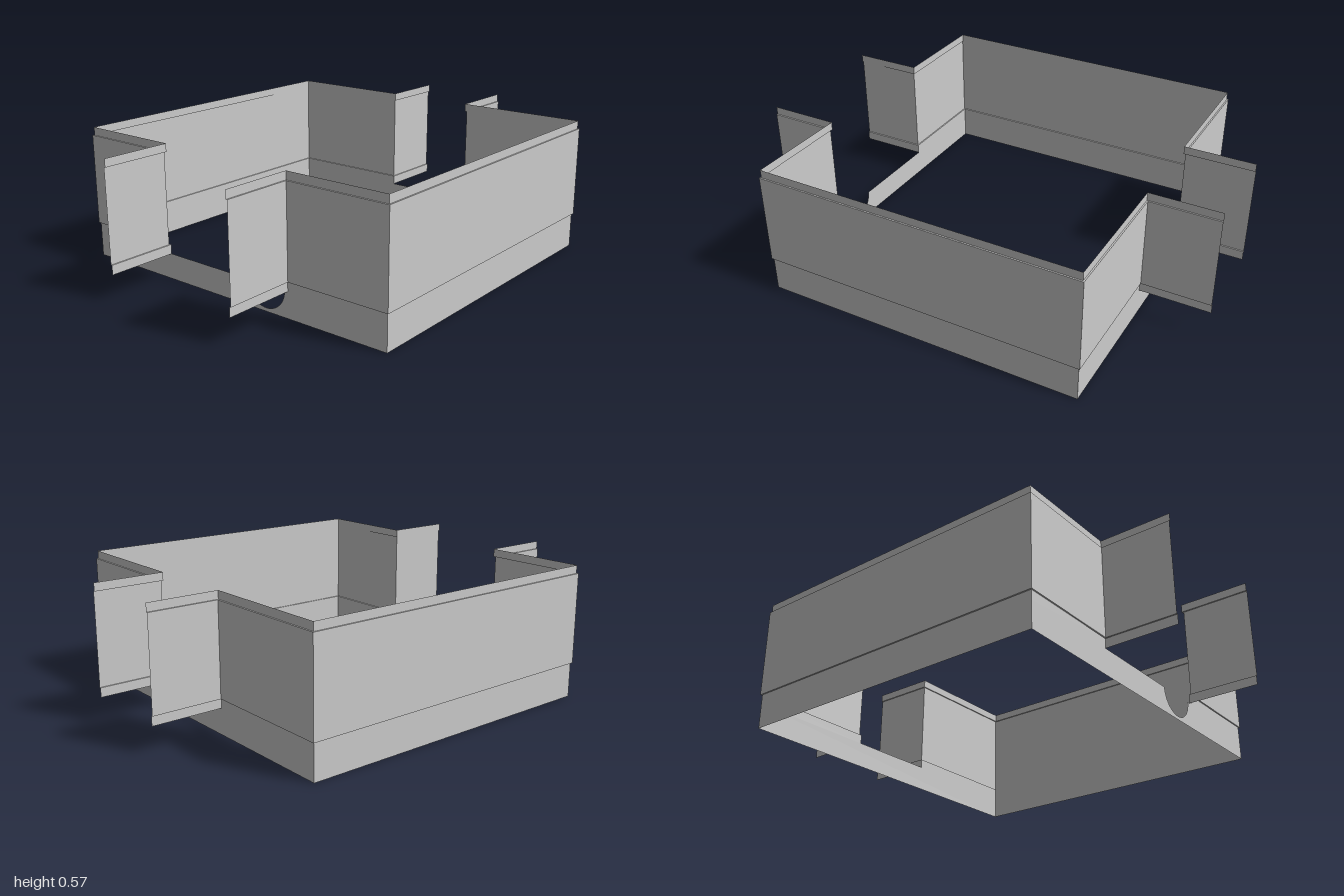
import * as THREE from 'three';

const W = 0.772, D = 0.698;      // half width and half depth of the room
const STEP = 0.006;              // how far the middle panel stands proud
const SILL = 0.11, TOP = 0.575;  // sill and wall top heights

const material = new THREE.MeshStandardMaterial({ color: 0xcccccc, side: THREE.DoubleSide });

// Sweeps a wall profile of [offset, y] points along a plan path.
// pathAt(offset) returns the [x, z] points of the path pushed outward.
function sweepWall(pathAt, profile) {
  const pos = [];
  for (let j = 0; j < profile.length - 1; j++) {
    const [e0, y0] = profile[j], [e1, y1] = profile[j + 1];
    const low = pathAt(e0), high = pathAt(e1);
    for (let i = 0; i < low.length - 1; i++) {
      const a = [low[i][0], y0, low[i][1]], b = [low[i + 1][0], y0, low[i + 1][1]];
      const c = [high[i + 1][0], y1, high[i + 1][1]], d = [high[i][0], y1, high[i][1]];
      pos.push(...a, ...b, ...c, ...a, ...c, ...d);
    }
  }
  const geometry = new THREE.BufferGeometry();
  geometry.setAttribute('position', new THREE.Float32BufferAttribute(pos, 3));
  geometry.computeVertexNormals();
  return geometry;
}

// Half of the upper wall: front wing, front, side, back, back wing
function halfPath(side, frontX, backX) {
  return (e) => {
    const points = [
      [frontX + e, 1], [frontX + e, D + e], [W + e, D + e],
      [W + e, -D - e], [backX + e, -D - e], [backX + e, -1],
    ].map(([x, z]) => [side * x, z]);
    return side > 0 ? points : points.reverse();
  };
}

export function createModel() {
  const group = new THREE.Group();
  const add = (name, geometry) => {
    const mesh = new THREE.Mesh(geometry, material);
    mesh.name = name;
    group.add(mesh);
    return mesh;
  };

  // Upper walls with recessed trims above and below the panel
  const profile = [
    [0, SILL], [0, 0.15], [STEP, 0.15], [STEP, 0.54], [0, 0.54], [0, TOP],
  ];
  add('leftWall', sweepWall(halfPath(1, 0.316, 0.199), profile));
  add('rightWall', sweepWall(halfPath(-1, 0.319, 0.204), profile));

  // Base strip around the sides and back
  const basePath = () => [[W, D], [W, -D], [-W, -D], [-W, D]];
  add('baseStrip', sweepWall(basePath, [[0, 0], [0, SILL]]));

  // Front base strip with a round notch in the sill
  const front = new THREE.Shape();
  front.moveTo(-W, 0);
  front.lineTo(W, 0);
  front.lineTo(W, SILL);
  front.lineTo(0.3, SILL);
  front.absarc(0.205, SILL, 0.095, 0, -Math.PI, true);
  front.lineTo(-W, SILL);
  front.closePath();
  add('frontBaseStrip', new THREE.ShapeGeometry(front, 14)).position.z = D;

  return group;
}
